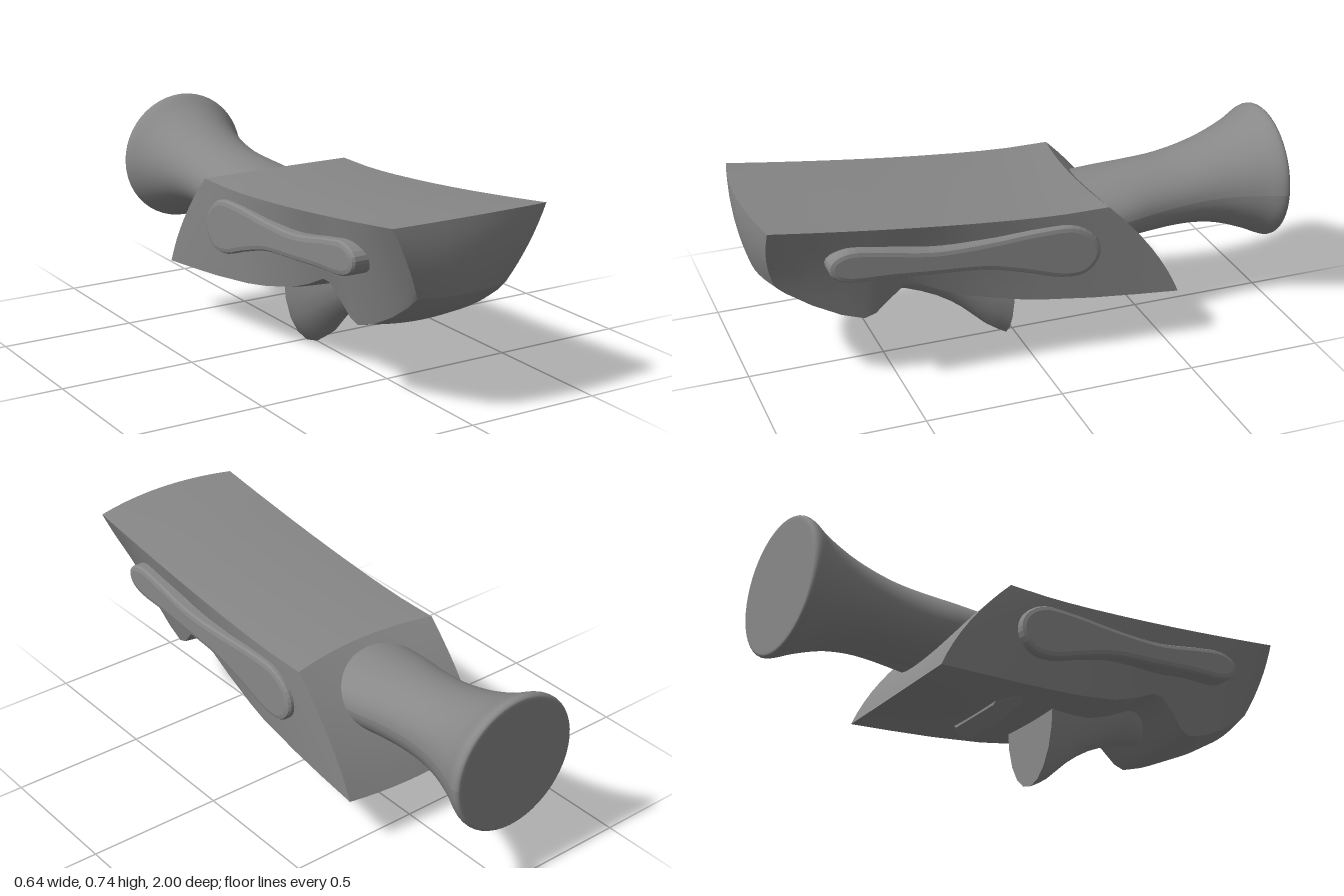
import * as THREE from 'three';
import { mergeGeometries } from 'three/addons/utils/BufferGeometryUtils.js';
import { ConvexGeometry } from 'three/addons/geometries/ConvexGeometry.js';

const material = new THREE.MeshStandardMaterial({ color: 0x888888 });
const lerp = THREE.MathUtils.lerp;

// Surface patch from f(u, v) -> [x, y, z]; it faces along du x dv.
function patch(f, nu, nv) {
  const pos = [], index = [];
  for (let i = 0; i <= nu; i++)
    for (let j = 0; j <= nv; j++) pos.push(...f(i / nu, j / nv));
  for (let i = 0; i < nu; i++)
    for (let j = 0; j < nv; j++) {
      const a = i * (nv + 1) + j, b = a + nv + 1;
      index.push(a, b, a + 1, b, b + 1, a + 1);
    }
  const g = new THREE.BufferGeometry();
  g.setAttribute('position', new THREE.Float32BufferAttribute(pos, 3));
  g.setIndex(index);
  g.computeVertexNormals();
  return g;
}

function part(name, geometry) {
  const mesh = new THREE.Mesh(geometry, material);
  mesh.name = name;
  return mesh;
}

// Smooth interpolation through rows of numbers.
function rowSampler(rows) {
  const seg = rows.length - 1;
  return (t) => {
    const i = Math.min(Math.floor(t * seg), seg - 1), k = t * seg - i;
    return rows[i].map((p1, c) => {
      const p2 = rows[i + 1][c];
      const p0 = i > 0 ? rows[i - 1][c] : 2 * p1 - p2;
      const p3 = i < seg - 1 ? rows[i + 2][c] : 2 * p2 - p1;
      return 0.5 * (2 * p1 + (p2 - p0) * k + (2 * p0 - 5 * p1 + 4 * p2 - p3) * k * k
        + (3 * p1 - p0 - 3 * p2 + p3) * k * k * k);
    });
  };
}

// Body: ruled sections from front to back, crowned on top and bowed at the ends.
function bodyGeometry() {
  // [bottom z, bottom y, bottom half width]
  const rows = [
    [0.925, 0.44, 0.175], [0.88, 0.40, 0.178], [0.8, 0.345, 0.183], [0.7, 0.293, 0.192],
    [0.62, 0.268, 0.2], [0.58, 0.283, 0.204], [0.53, 0.337, 0.215], [0.48, 0.382, 0.222],
    [0.44, 0.385, 0.224], [0.35, 0.342, 0.228], [0.25, 0.305, 0.236], [0.1, 0.272, 0.256],
    [0, 0.256, 0.268], [-0.2, 0.234, 0.283], [-0.37, 0.22, 0.293], [-0.53, 0.208, 0.3],
  ];
  const last = rows.length - 1;
  const topY = (z) => 0.592 + 0.108 * Math.pow(Math.max(0, (z + 0.1) / 1.065), 1.4);
  const point = (s, across, v) => {
    const i = Math.round(s * last), [zb, yb, hw] = rows[i];
    const zt = i === 0 ? 0.965 : zb > 0 ? zb : zb * 0.472;
    const u = across * 2 - 1, crown = 1 - u * u;
    let bow = 0.035 * Math.max(0, (zb - 0.6) / 0.325), bulge = 0;
    if (i === 0) bulge = 0.015;
    if (i === last) { bow = lerp(-0.015, 0.03, v); bulge = -0.03; }
    return [
      u * lerp(hw, 0.3, v),
      lerp(yb - (i ? 0.014 * crown : 0), topY(zt) + 0.01 * crown, v),
      lerp(zb, zt, v) + bow * crown + bulge * 4 * v * (1 - v),
    ];
  };
  return mergeGeometries([
    patch((a, s) => point(s, a, 1), 10, last),
    patch((s, a) => point(s, a, 0), last, 10),
    patch((s, v) => point(s, 1, v), last, 8),
    patch((v, s) => point(s, 0, v), 8, last),
    patch((a, v) => point(0, a, v), 10, 8),
    patch((v, a) => point(1, a, v), 8, 10),
  ]);
}

// Handle: oval sections along -z, flaring to a flat round end.
function handleGeometry() {
  // [z, centre y, half width, half height]
  const at = rowSampler([
    [-0.22, 0.45, 0.2, 0.125], [-0.38, 0.458, 0.192, 0.127], [-0.5, 0.465, 0.174, 0.13],
    [-0.6, 0.472, 0.168, 0.133], [-0.7, 0.48, 0.173, 0.145], [-0.8, 0.485, 0.19, 0.17],
    [-0.9, 0.487, 0.222, 0.21], [-0.96, 0.49, 0.25, 0.242], [-0.985, 0.49, 0.255, 0.25],
    [-0.998, 0.49, 0.248, 0.244], [-1, 0.49, 0.235, 0.232],
  ]);
  const ring = (t, turn, scale = 1) => {
    const [z, y, rx, ry] = at(t), a = turn * Math.PI * 2;
    return [Math.cos(a) * rx * scale - 0.006, y + Math.sin(a) * ry * scale, z];
  };
  return mergeGeometries([
    patch((t, a) => ring(t, a), 40, 48),
    patch((t, a) => ring(1, a, 1 - t), 1, 48),
  ]);
}

// Scoop below the body: U-shaped sections, necked in and flaring to a flat back.
function scoopGeometry() {
  // [z, bottom y, half width, top y]
  const at = rowSampler([
    [0.53, 0.285, 0.04, 0.35], [0.5, 0.272, 0.07, 0.36], [0.42, 0.253, 0.078, 0.4],
    [0.3, 0.2, 0.072, 0.345], [0.2, 0.13, 0.09, 0.31], [0.11, 0.045, 0.118, 0.285],
    [0.04, 0, 0.14, 0.27],
  ]);
  const point = (t, v, k = 1) => {
    const [z, bottom, w, top] = at(t), a = v * Math.PI;
    return [-w * Math.cos(a), top - (top - bottom) * Math.sin(a) * k, z];
  };
  return mergeGeometries([
    patch((t, v) => point(t, v), 12, 10),
    patch((k, v) => point(0, v, k), 1, 10),
    patch((v, k) => point(1, v, k), 10, 1),
  ]);
}

// Raised teardrop panel, drawn as (z, y) and extruded along x.
function panelGeometry() {
  const outline = [
    [0.747, 0.55], [0.7, 0.573], [0.6, 0.562], [0.4, 0.526], [0.2, 0.524], [0, 0.533],
    [-0.12, 0.524], [-0.187, 0.474], [-0.197, 0.42], [-0.155, 0.373], [-0.08, 0.372],
    [0.05, 0.413], [0.2, 0.454], [0.4, 0.473], [0.55, 0.487], [0.7, 0.498], [0.742, 0.52],
  ].map(([z, y]) => new THREE.Vector3(-z, y, 0));
  const curve = new THREE.CatmullRomCurve3(outline, true);
  const shape = new THREE.Shape(curve.getPoints(64).slice(0, -1).map((p) => new THREE.Vector2(p.x, p.y)));
  const g = new THREE.ExtrudeGeometry(shape, {
    depth: 0.07, bevelEnabled: true, bevelThickness: 0.012, bevelSize: 0.019, bevelSegments: 2,
  });
  return g.translate(0, 0, -0.035).rotateY(Math.PI / 2);
}

export function createModel() {
  const model = new THREE.Group();
  model.name = 'model';
  model.add(part('body', bodyGeometry()));
  model.add(part('handle', handleGeometry()));
  model.add(part('scoop', scoopGeometry()));

  const panel = panelGeometry();
  for (const [name, side] of [['leftPanel', 1], ['rightPanel', -1]]) {
    const mesh = part(name, panel);
    mesh.position.x = side * 0.273;
    model.add(mesh);
  }

  // Small wedge across the underside, pointed at both ends
  const corners = [];
  for (const s of [-1, 1])
    for (const [x, y, z] of [[0.2, 0.229, -0.14], [0.16, 0.235, -0.1], [0.15, 0.235, -0.2], [0.1, 0.175, -0.15], [0.12, 0.212, -0.2]])
      corners.push(new THREE.Vector3(s * x, y, z));
  model.add(part('undersideWedge', new ConvexGeometry(corners)));
  return model;
}
